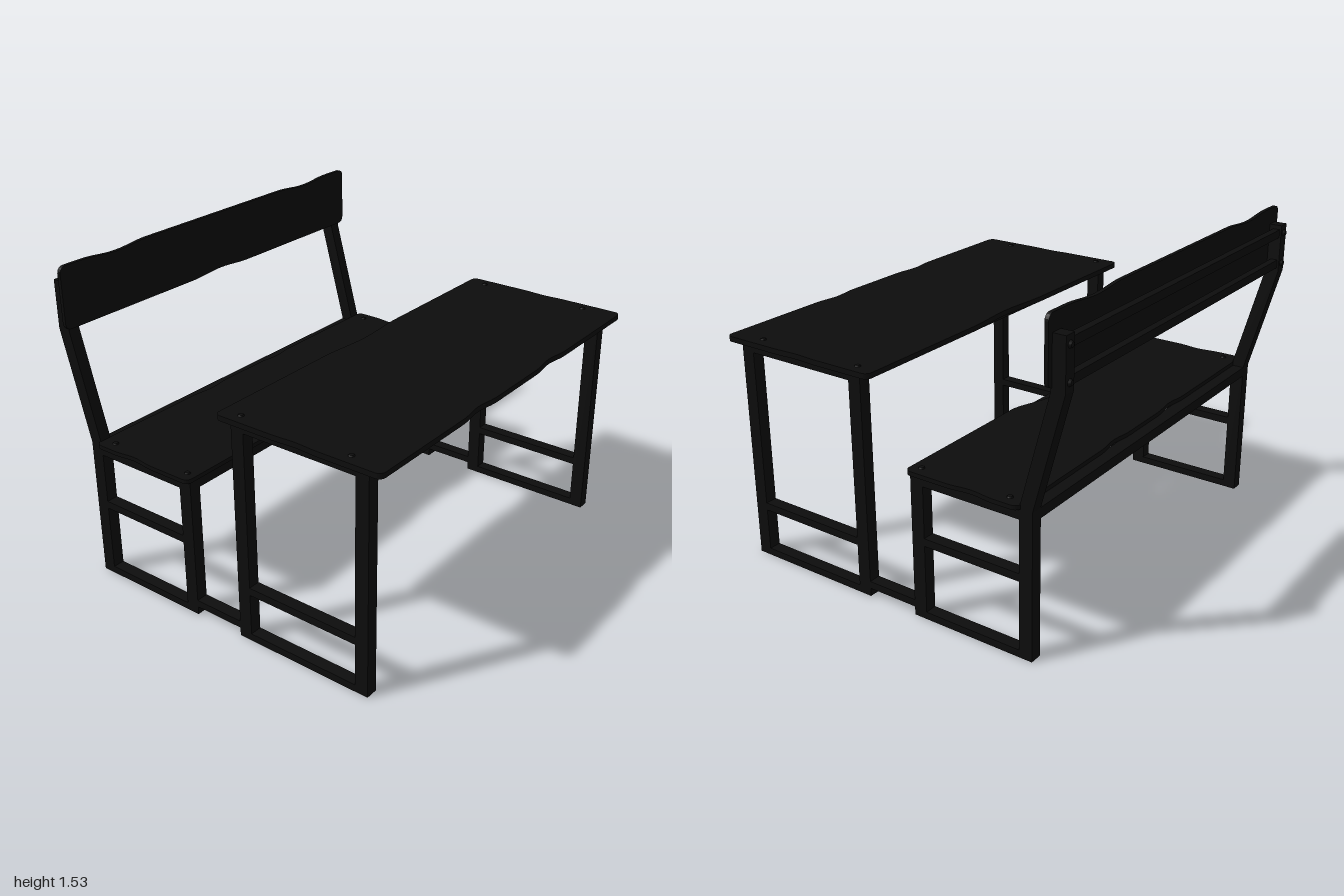
import * as THREE from 'three';

const material = new THREE.MeshStandardMaterial({ color: 0x0d0d0d });

function add(parent, name, geometry, x = 0, y = 0, z = 0) {
  const mesh = new THREE.Mesh(geometry, material);
  mesh.name = name;
  mesh.position.set(x, y, z);
  parent.add(mesh);
  return mesh;
}

// Box given by its limits on each axis
function bar(parent, name, [x0, x1], [y0, y1], [z0, z1]) {
  return add(parent, name, new THREE.BoxGeometry(x1 - x0, y1 - y0, z1 - z0),
    (x0 + x1) / 2, (y0 + y1) / 2, (z0 + z1) / 2);
}

// Rounded rectangular board; each side (bottom, right, top, left) takes dips [centre, halfWidth, depth]
function boardGeometry(w, h, thickness, sides) {
  const r = 0.03, points = [];
  sides.forEach((dips, i) => {
    const along = (i % 2 ? h : w) / 2, out = (i % 2 ? w : h) / 2;
    const a = i * Math.PI / 2, c = Math.cos(a), s = Math.sin(a);
    const put = (u, v) => points.push(new THREE.Vector2(u * c - v * s, u * s + v * c));
    for (let k = 0; k <= 64; k++) {
      const u = (along - r) * (k / 32 - 1);
      let v = -out;
      for (const [centre, half, depth] of dips) {
        const t = Math.abs(u - centre) / half;
        if (t < 1) v += depth * 0.5 * (1 + Math.cos(Math.PI * t));
      }
      put(u, v);
    }
    for (let k = 1; k < 5; k++) {
      const t = k / 5 * Math.PI / 2;
      put(along - r + r * Math.sin(t), -out + r - r * Math.cos(t));
    }
  });
  return new THREE.ExtrudeGeometry(new THREE.Shape(points), { depth: thickness, bevelEnabled: false });
}

// Side frame of tube: legs, base, stretcher and top rail
function sideFrame(parent, name, x, z0, z1, top, stretcherY, railHeight) {
  const d = 0.065;
  bar(parent, name + 'RearLeg', x, [0, top], [z0, z0 + d]);
  bar(parent, name + 'FrontLeg', x, [0, top], [z1 - d, z1]);
  const inner = [z0 + d, z1 - d];
  bar(parent, name + 'BaseRail', x, [0, 0.035], inner);
  bar(parent, name + 'Stretcher', x, [stretcherY, stretcherY + 0.037], inner);
  bar(parent, name + 'TopRail', x, [top - railHeight, top], inner);
}

export function createModel() {
  const model = new THREE.Group();
  model.name = 'schoolDeskWithBench';

  for (const side of [-1, 1]) {
    const frame = new THREE.Group();
    frame.name = side > 0 ? 'leftFrame' : 'rightFrame';
    model.add(frame);
    const x = side > 0 ? [0.917, 0.975] : [-0.975, -0.917];
    const xc = side * 0.946;
    sideFrame(frame, 'desk', x, 0.127, 0.825, 1.065, 0.24, 0.037);
    sideFrame(frame, 'bench', x, -0.747, -0.13, 0.69, 0.36, 0.048);
    bar(frame, 'floorLink', x, [0.04, 0.075], [-0.13, 0.127]);

    // Leaning back post with its upright end
    const post = new THREE.Shape([[-0.747, 0.69], [-0.682, 0.69], [-0.825, 1.22],
      [-0.828, 1.45], [-0.89, 1.45], [-0.89, 1.22]].map(([z, y]) => new THREE.Vector2(-z, y)));
    const postGeometry = new THREE.ExtrudeGeometry(post, { depth: 0.058, bevelEnabled: false });
    postGeometry.rotateY(Math.PI / 2);
    add(frame, 'backPost', postGeometry, x[0]);

    // Bolt heads on the boards and posts
    for (const [y, z] of [[1.09, 0.72], [1.09, 0.16], [0.71, -0.17], [0.71, -0.62]])
      add(frame, 'boardBolt', new THREE.CylinderGeometry(0.011, 0.018, 0.012, 12), xc, y, z);
    for (const y of [1.26, 1.41]) {
      const bolt = new THREE.CylinderGeometry(0.018, 0.011, 0.014, 12).rotateX(Math.PI / 2);
      add(frame, 'postBolt', bolt, xc, y, -0.894);
    }
  }

  // Long rails under the desk top and the seat
  const span = [-0.917, 0.917];
  for (const z of [0.127, 0.76]) bar(model, 'deskLongRail', span, [1.028, 1.065], [z, z + 0.065]);
  for (const z of [-0.747, -0.195]) bar(model, 'seatLongRail', span, [0.642, 0.69], [z, z + 0.065]);
  for (const y of [1.24, 1.39]) bar(model, 'backLongRail', span, [y, y + 0.04], [-0.882, -0.848]);

  // Wavy boards
  const deskTop = boardGeometry(2, 0.835, 0.025, [
    [[-0.3, 0.13, 0.014], [0.3, 0.13, 0.014]], [[0, 0.12, 0.006]],
    [[0, 0.28, 0.018]], [[0, 0.12, 0.006]]]);
  add(model, 'deskTop', deskTop.rotateX(-Math.PI / 2), 0, 1.065, 0.48);

  const seat = boardGeometry(2, 0.57, 0.02, [
    [[0, 0.24, 0.06]], [[0.05, 0.12, 0.012]],
    [[-0.25, 0.12, 0.012], [0.25, 0.12, 0.012]], [[-0.05, 0.12, 0.012]]]);
  add(model, 'seat', seat.rotateX(-Math.PI / 2), 0, 0.69, -0.406);

  const backrest = boardGeometry(2, 0.295, 0.018, [
    [[0, 0.2, 0.012]], [], [[-0.67, 0.2, 0.014], [0.67, 0.2, 0.014]], []]);
  add(model, 'backrest', backrest, 0, 1.38, -0.83);

  return model;
}
